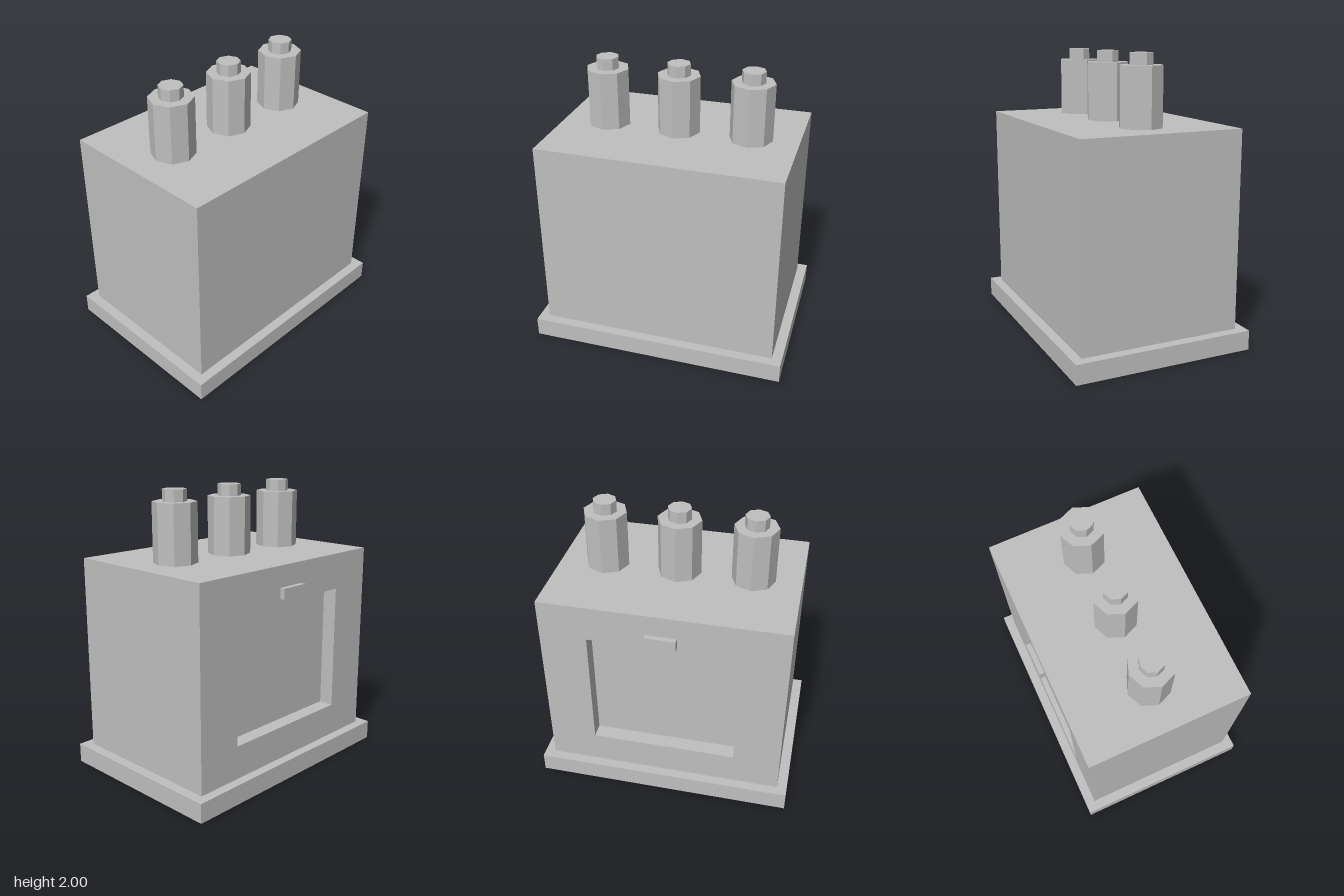
import * as THREE from 'three';

const W = 1.68, D = 1.14, Y0 = 0.137, Y1 = 1.515;    // tank
const RX = 0.51, RY0 = 0.37, RY1 = 1.26, RD = 0.105; // rear recess

export function createModel() {
  const model = new THREE.Group();
  model.name = 'transformer';
  const grey = new THREE.MeshStandardMaterial({ color: 0xbfbfbf, flatShading: true });
  grey.name = 'grey metal';

  const add = (name, geometry, x, y, z, parent = model) => {
    const mesh = new THREE.Mesh(geometry, grey);
    mesh.name = name;
    mesh.position.set(x, y, z);
    parent.add(mesh);
    return mesh;
  };

  // Box without its -z face; inward turns the faces to the inside
  const openBox = (w, h, d, inward = false) => {
    const geometry = new THREE.BoxGeometry(w, h, d);
    const index = Array.from(geometry.index.array).slice(0, 30);
    geometry.clearGroups();
    geometry.setIndex(inward ? index.reverse() : index);
    geometry.computeVertexNormals();
    return geometry;
  };

  const rectangle = (path, x, y0, y1) =>
    path.moveTo(-x, y0).lineTo(x, y0).lineTo(x, y1).lineTo(-x, y1).closePath();

  // Base plinth
  add('basePlinth', new THREE.BoxGeometry(1.82, Y0, 1.275), 0, Y0 / 2, 0);

  // Tank with a recessed panel in its back
  const tank = new THREE.Group();
  tank.name = 'tank';
  model.add(tank);
  add('tankWalls', openBox(W, Y1 - Y0, D), 0, (Y0 + Y1) / 2, 0, tank);

  const back = rectangle(new THREE.Shape(), W / 2, Y0, Y1);
  back.holes.push(rectangle(new THREE.Path(), RX, RY0, RY1));
  add('backFrame', new THREE.ShapeGeometry(back).rotateY(Math.PI), 0, 0, -D / 2, tank);
  add('backRecess', openBox(RX * 2, RY1 - RY0, RD, true), 0, (RY0 + RY1) / 2, -D / 2 + RD / 2, tank);

  // Small plate above the recess
  add('backPlate', new THREE.BoxGeometry(0.21, 0.075, 0.035), 0, 1.328, -D / 2 - 0.0175);

  // Three bushings with terminal caps
  for (const x of [-0.51, 0, 0.51]) {
    const bushing = new THREE.Group();
    bushing.name = 'bushing';
    bushing.position.x = x;
    model.add(bushing);
    add('bushingBody', new THREE.CylinderGeometry(0.15, 0.15, 0.405, 8), 0, Y1 + 0.2025, 0, bushing);
    add('terminal', new THREE.CylinderGeometry(0.081, 0.081, 0.08, 8), 0, 1.96, 0, bushing);
  }

  return model;
}
